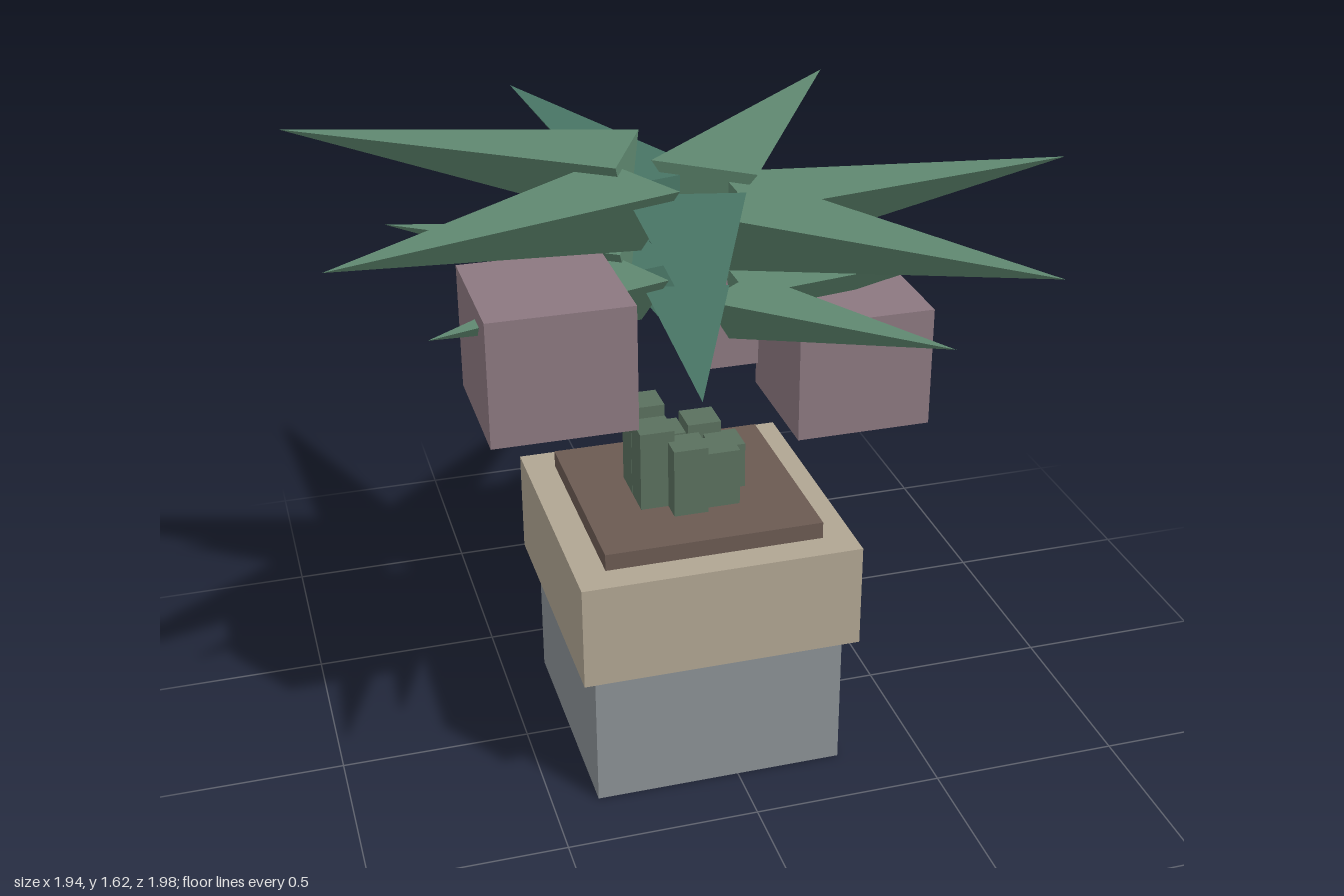
import * as THREE from 'three';

const CENTER_X = -0.05;
const COUNT = 7;
const paint = (color) => new THREE.MeshStandardMaterial({ color, flatShading: true });

function box(name, material, [w, h, d], [x, bottom, z]) {
  const mesh = new THREE.Mesh(new THREE.BoxGeometry(w, h, d), material);
  mesh.name = name;
  mesh.position.set(x, bottom + h / 2, z);
  return mesh;
}

// Flat-topped, keeled spike pointing along +x, from its broad end to its tip
function spike(inner, outer, halfWidth, depth) {
  const tip = [outer, 0, 0];
  const front = [inner, 0, halfWidth];
  const back = [inner, 0, -halfWidth];
  const keel = [inner, -depth, 0];
  const faces = [tip, back, front, tip, front, keel, tip, keel, back, front, back, keel];
  const geometry = new THREE.BufferGeometry();
  geometry.setAttribute('position', new THREE.Float32BufferAttribute(faces.flat(), 3));
  geometry.computeVertexNormals();
  return geometry;
}

export function createModel() {
  const model = new THREE.Group();
  model.name = 'pottedPlant';
  const stemPaint = paint(0x5a705e);
  const lightLeaf = paint(0x5f8870);
  const darkLeaf = paint(0x487565);
  const fruitPaint = paint(0x8c7880);

  // Pot and soil
  model.add(
    box('potBase', paint(0x8a9094), [0.66, 0.38, 0.66], [CENTER_X, 0, 0]),
    box('potRim', paint(0xb0a592), [0.73, 0.28, 0.73], [CENTER_X, 0.38, 0]),
    box('soil', paint(0x6b5a52), [0.57, 0.045, 0.57], [CENTER_X, 0.66, 0]),
  );

  // Ring of square stems, stepping up in height
  const stems = new THREE.Group();
  stems.name = 'stems';
  for (let i = 0; i < COUNT; i++) {
    const a = (i / COUNT) * Math.PI * 2;
    const x = CENTER_X + Math.cos(a) * 0.107;
    const z = Math.sin(a) * 0.107;
    stems.add(box('stem', stemPaint, [0.09, 0.125 + (i % 5) * 0.03, 0.09], [x, 0.705, z]));
  }
  model.add(stems);

  // Two whorls of leaves
  const whorls = [
    { name: 'upperLeaves', y: 1.51, shape: spike(0.136, 1.018, 0.143, 0.19) },
    { name: 'lowerLeaves', y: 1.275, shape: spike(0.138, 0.766, 0.104, 0.137) },
  ];
  for (const { name, y, shape } of whorls) {
    const whorl = new THREE.Group();
    whorl.name = name;
    whorl.position.set(CENTER_X, y, 0);
    for (let i = 0; i < COUNT; i++) {
      const leaf = new THREE.Mesh(shape, i % 3 === 2 ? darkLeaf : lightLeaf);
      leaf.name = 'leaf';
      leaf.position.y = (i % 5) * 0.0285;
      leaf.rotation.y = -(i / COUNT) * Math.PI * 2;
      whorl.add(leaf);
    }
    model.add(whorl);
  }

  // Hanging block fruit
  const fruitSpots = [[0.378, 0.89, -0.002], [0.216, 0.955, -0.337], [-0.44, 1.082, 0.187]];
  for (const spot of fruitSpots) model.add(box('fruit', fruitPaint, [0.354, 0.318, 0.354], spot));

  return model;
}
